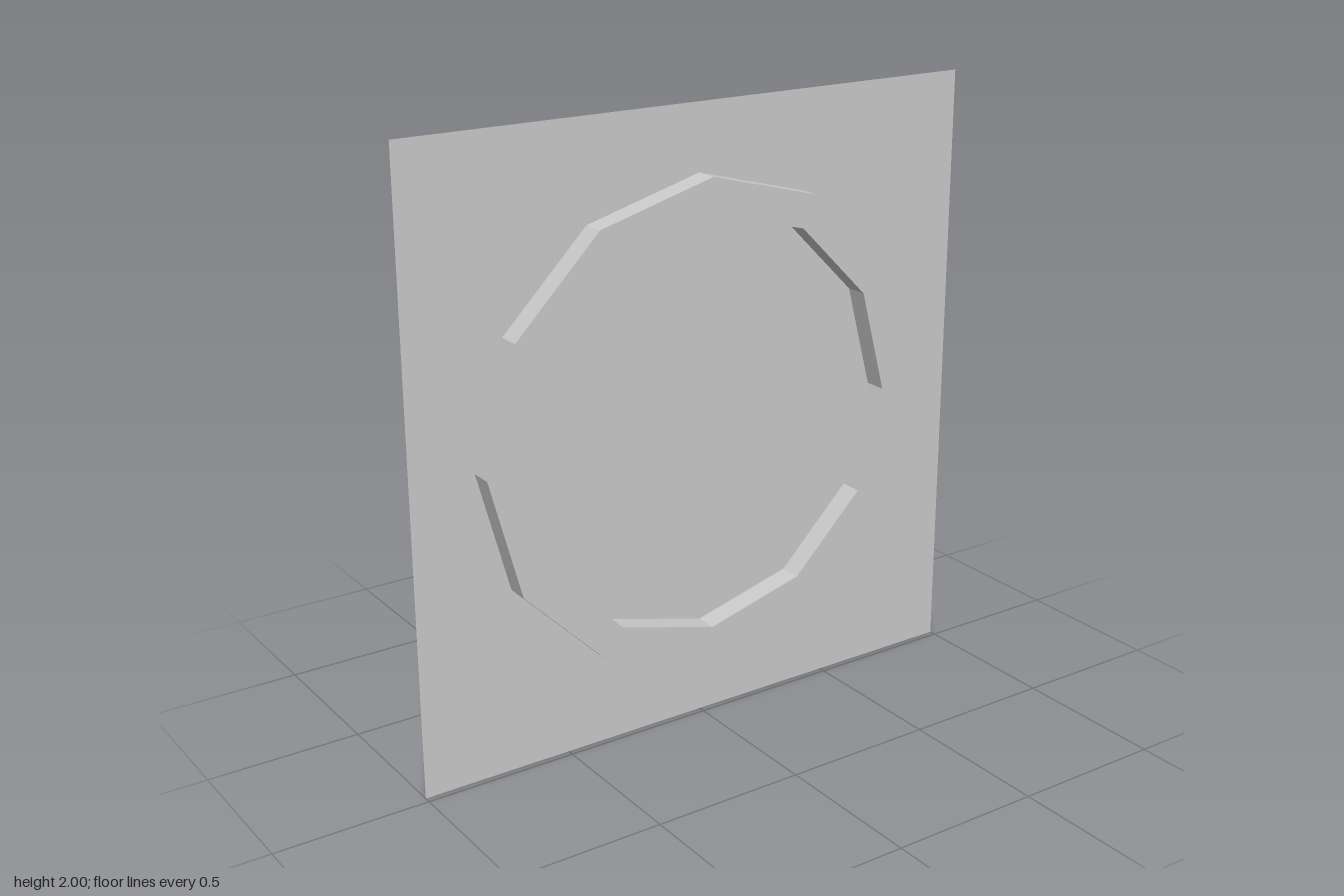
import * as THREE from 'three';

export function createModel() {
  const group = new THREE.Group();
  const material = new THREE.MeshStandardMaterial({
    color: 0xcccccc, flatShading: true, side: THREE.DoubleSide,
  });
  const plateZ = -0.022, halfDepth = 0.0525;
  const outer = 0.788, inner = 0.675;

  // Thin square back panel
  const panel = new THREE.Mesh(new THREE.PlaneGeometry(2, 2), material);
  panel.name = 'panel';
  panel.position.set(0, 1, plateZ);
  group.add(panel);

  // Twelve-sided raised rim, open at the back: outer wall, front face, inner wall
  const profile = [
    [outer, -halfDepth], [outer, halfDepth], [inner, halfDepth], [inner, plateZ],
  ].map(([r, z]) => new THREE.Vector2(r, z));
  const rim = new THREE.Mesh(new THREE.LatheGeometry(profile, 12).rotateX(Math.PI / 2), material);
  rim.name = 'rim';
  rim.position.y = 1;
  group.add(rim);

  return group;
}
